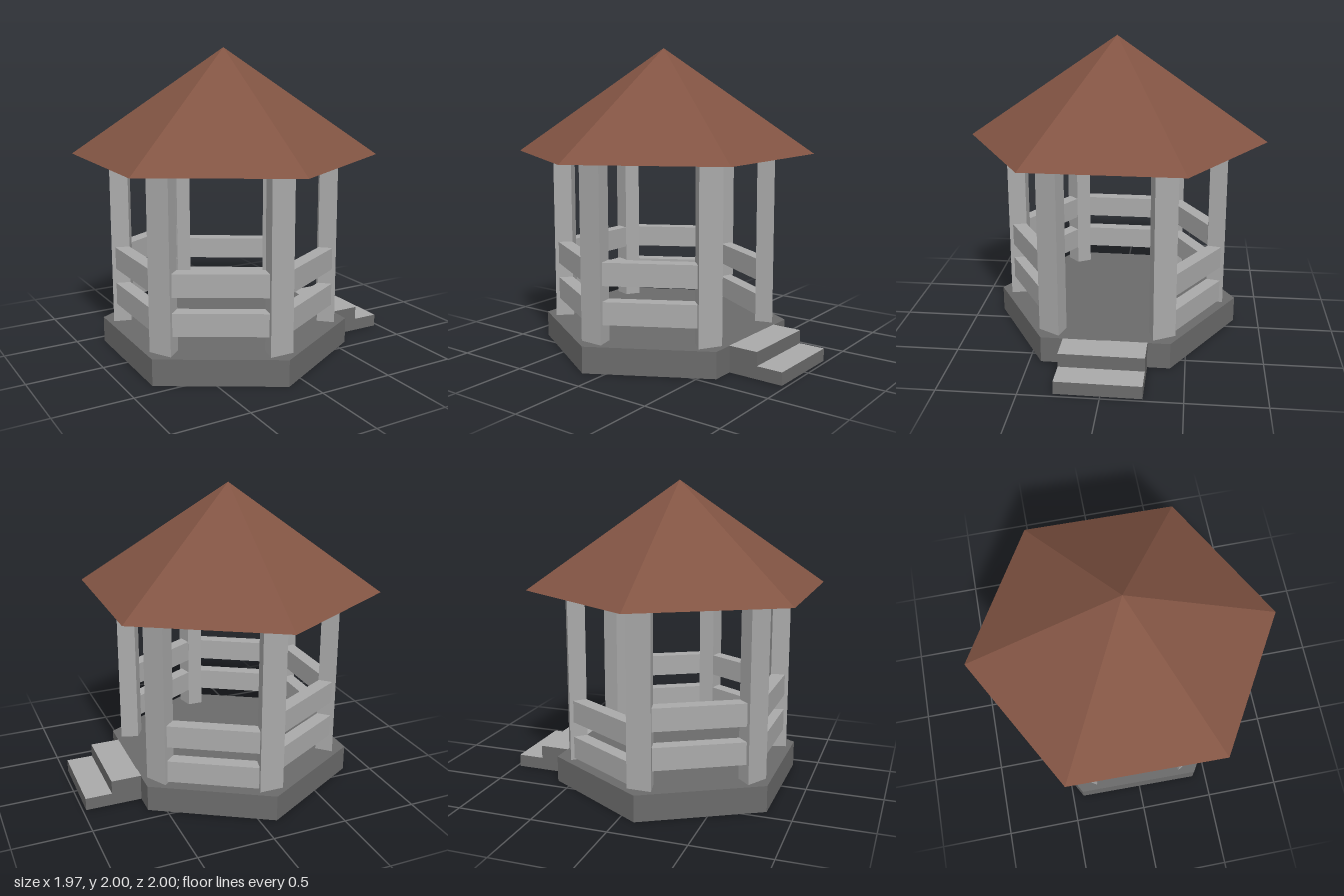
import * as THREE from 'three';

const SIDES = 6, STEP = Math.PI / 3, FLOOR = 0.172, EAVES = 1.31;

// Box that keeps only the listed faces (0 +x, 1 -x, 2 +y, 3 -y, 4 +z, 5 -z)
function openBox(w, h, d, faces) {
  const g = new THREE.BoxGeometry(w, h, d);
  const all = Array.from(g.index.array);
  g.setIndex(faces.flatMap((f) => all.slice(f * 6, f * 6 + 6)));
  g.clearGroups();
  return g;
}

export function createModel() {
  const mat = (name, color) => {
    const m = new THREE.MeshStandardMaterial({ color, flatShading: true, side: THREE.DoubleSide });
    m.name = name;
    return m;
  };
  const timber = mat('light grey timber', 0xaaaaaa);
  const stone = mat('dark grey base', 0x6b6b6b);
  const tile = mat('brown roof', 0x825443);

  const root = new THREE.Group();
  root.name = 'gazebo';
  const body = new THREE.Group();
  body.name = 'pavilion';
  body.position.x = -0.115;
  body.rotation.y = -0.013;
  root.add(body);

  const add = (name, geo, material, x, y, z, parent = body) => {
    const m = new THREE.Mesh(geo, material);
    m.name = name;
    m.position.set(x, y, z);
    parent.add(m);
    return m;
  };

  // Hexagonal platform: open-bottomed skirt with a floor on top
  add('baseSkirt', new THREE.CylinderGeometry(0.83, 0.83, FLOOR, SIDES, 1, true), stone, 0, FLOOR / 2, 0);
  const floor = new THREE.CircleGeometry(0.83, SIDES, Math.PI / 2).rotateX(-Math.PI / 2);
  add('floor', floor, stone, 0, FLOOR, 0);

  // Roof pyramid with a flat underside
  add('roof', new THREE.ConeGeometry(1, 2 - EAVES, SIDES), tile, 0, (2 + EAVES) / 2, 0);

  // Hollow posts, narrower on the inner side, reaching just below the floor
  const postFoot = 0.12;
  const postGeo = openBox(0.16, EAVES - postFoot, 0.115, [0, 1, 4, 5]);
  const p = postGeo.attributes.position;
  for (let i = 0; i < p.count; i++) if (p.getZ(i) < 0) p.setX(i, p.getX(i) * 0.65);
  postGeo.computeVertexNormals();

  const railGeo = new THREE.BoxGeometry(0.588, 0.147, 0.09);
  for (let k = 0; k < SIDES; k++) {
    const corner = new THREE.Group();
    corner.name = 'postCorner';
    corner.rotation.y = k * STEP;
    body.add(corner);
    add('post', postGeo, timber, 0, (EAVES + postFoot) / 2, 0.6875, corner);

    // Two rails per side; the entrance side stays open and one panel hangs lower
    if (k === 1) continue;
    const panel = new THREE.Group();
    panel.name = 'railing';
    panel.rotation.y = (k + 0.5) * STEP;
    panel.position.y = k === 2 ? -0.11 : 0;
    body.add(panel);
    add('lowerRail', railGeo, timber, 0, 0.369, 0.6175, panel);
    add('upperRail', railGeo, timber, 0, 0.617, 0.6175, panel);
  }

  // Entrance steps: dark open-bottomed sides with light treads
  const steps = [['upperStep', 0.715, 0.915, FLOOR], ['lowerStep', 0.915, 1.09, 0.083]];
  for (const [name, x0, x1, h] of steps) {
    const w = x1 - x0, x = (x0 + x1) / 2;
    add(name + 'Sides', openBox(w, h, 0.54, [0, 4, 5]), stone, x, h / 2, 0);
    add(name + 'Tread', openBox(w, h, 0.54, [2]), timber, x, h / 2, 0);
  }

  return root;
}
